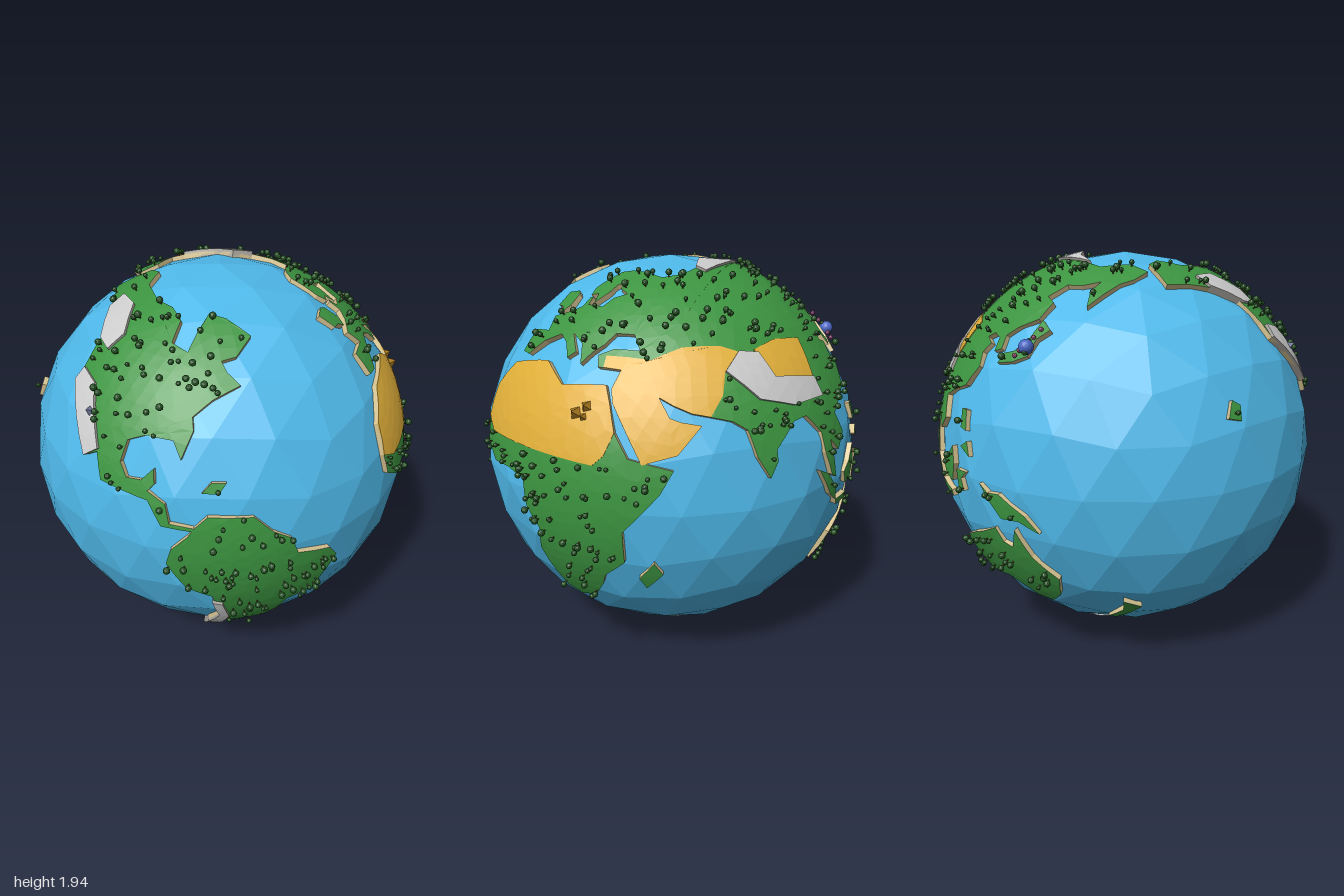
import * as THREE from 'three';
import { mergeGeometries } from 'three/addons/utils/BufferGeometryUtils.js';

const SEA = 0.963, LAND = 0.975;
const mat = (color) => new THREE.MeshStandardMaterial({ color, flatShading: true });

// Outlines as longitude, latitude pairs in degrees
const GREEN = {
  northAmerica: [-165, 59.5, -167, 70.5, -155.5, 73, -138, 69, -115, 66.5, -100, 65.5, -91, 62, -91, 55, -83, 53,
    -81, 58, -76, 65, -66, 63.4, -55, 57.5, -63, 52, -69, 51, -67, 48, -62.5, 44.5, -72, 41, -78, 36.7, -77.4, 33.3,
    -80.4, 26, -83, 30.5, -91.5, 30.7, -96.7, 28.6, -97.8, 22.8, -95.3, 19.2, -91, 19.5, -87.7, 23, -87.2, 19, -89, 17,
    -84, 14.3, -82.8, 9, -76.5, 8.4, -76.5, 7.4, -85, 8, -88.8, 14.5, -103.4, 16.2, -106, 23, -110, 20.8,
    -124.7, 37, -125, 42, -127.5, 51, -140, 57, -152, 59],
  southAmerica: [-76.5, 8.2, -73, 11.7, -61, 11.4, -56, 6.5, -51, 3.5, -49, -1.9, -39, -4, -36, -8, -40, -17, -41, -21,
    -49, -23.5, -51, -30.5, -56, -37, -62, -38, -62, -43, -66, -47.6, -64, -54, -73, -54, -77, -47.6, -74, -37,
    -70, -28, -72, -16.5, -79, -13, -84, -4, -82.6, 1, -78, 5.8],
  africa: [-16.5, 14.8, -16, 24, -9, 32.4, 8, 36.1, 17.4, 30.9, 32.2, 32.4, 34.3, 27.6, 36.4, 20.8, 40.3, 14.8, 52, 12.2,
    48.6, 6.2, 39, -4.8, 39, -14.4, 32.6, -20.4, 31.2, -24.4, 27, -31, 20, -34.5, 15, -32, 13.4, -26, 11, -17, 13, -9.5,
    9, -4, 8.2, 4, 1, 5, -7.5, 4, -14.8, 8.3],
  europe: [60, 69.7, 45, 68, 28, 70.8, 18, 70.8, 10, 69.4, 5, 61, 7, 58, 11, 59, 13, 55.5, 17, 60, 18, 63, 23, 66, 22, 62, 28, 60,
    22, 58, 19, 54.5, 10.5, 54.5, 9.5, 57.5, 8, 57, 8, 53.5, 3, 51, -4, 48.5, -1, 44, -9.5, 43, -8.5, 36, -4, 36, 1, 41,
    7.5, 44, 12, 42, 15.5, 38, 18, 40, 13, 45, 19, 42.5, 21.5, 37, 24.5, 40.5, 28, 43, 31, 46.5, 38, 46.5, 41, 42, 55, 50],
  asia: [60, 69.7, 75, 73, 91, 78, 117, 75, 144, 70.7, 154, 69, 178, 70.5, 188, 66, 178, 62, 170, 60, 163, 56, 157, 51,
    156, 57, 160, 61, 150, 59, 142, 59, 136, 54, 141, 52, 139, 46, 132, 43, 128, 40, 129, 36, 126, 35, 125, 39, 121, 40,
    118, 38.5, 122, 37, 120, 34, 122, 30, 118, 24, 110, 21, 106, 19, 109, 13, 105, 9, 101, 13, 103.5, 1.5, 101, 3, 98, 10,
    97, 16, 92, 21.5, 87, 21, 80, 15, 80, 12, 77.5, 8, 74, 14, 72, 21, 68, 23.5, 62, 25, 57, 26, 52, 28, 48, 30, 51, 25,
    54, 24, 59.5, 23, 53, 16, 44, 13.5, 39, 22, 35, 28, 34, 31.5, 36, 36.5, 28, 36.8, 27, 40, 32, 42, 41, 42, 55, 50],
  australia: [114, -22, 122, -18, 129, -15, 135, -12, 137, -16, 140, -17, 142, -11, 146, -19, 153, -26, 151, -34, 146, -39,
    140, -38, 136, -34, 131, -31.5, 124, -33, 118, -35, 115, -34],
  caribbeanIsland: [-74.5, 18, -72, 20.8, -68, 20.8, -70, 18],
  pacificIsland: [-159, 19, -155, 18, -154.5, 22, -157, 23.5],
  madagascar: [44.5, -24, 42.6, -20, 47, -14, 49.3, -18],
  britain: [-9, 52, -12, 57, -5, 58.5, -2, 57.5, 0, 53, -2, 50.5, -5, 52],
  japan: [130, 32, 136, 33, 141, 35, 142, 40, 146, 43, 141, 46, 139, 40, 135, 36, 131, 35],
  sumatra: [95, 6, 99, 4, 104, -2, 105, -6, 101, -3],
  java: [105, -6, 114, -7, 114, -9, 106, -8],
  borneo: [109, 1, 113, 3, 117, 7, 118, 2, 116, -3.5, 111, -3],
  sulawesi: [119.5, 1, 125, 1.5, 122, -1, 123, -4.5, 120, -5],
  northPhilippines: [120, 18, 122.5, 18, 124, 12.5, 121, 13],
  southPhilippines: [122, 8, 125, 10, 126.5, 6],
  newGuinea: [131, 0, 134, -2, 138, -1.5, 146, -6, 150, -10.5, 144, -8, 138, -8.5, 134, -4],
  newZealand: [172, -34.5, 178.5, -38, 175, -42, 169, -47, 166, -46, 172, -40],
};
const DESERT = {
  sahara: [-16.5, 14.8, -16, 24, -9, 32.4, 8, 36.1, 17.4, 30.9, 32.2, 32.4, 34.3, 27.6, 36.4, 20.8, 34, 15, 31, 12.2, -10, 12],
  arabianDesert: [30, 40, 45, 39.5, 55, 43, 68, 43, 74, 41, 68, 36, 66, 30, 62, 25, 57, 26, 52, 28, 48, 30, 51, 25, 54, 24, 59.5, 23,
    53, 16, 44, 13.5, 39, 22, 35, 28, 34, 31.5, 36, 36.5, 30, 36.8],
  gobi: [103, 41.6, 90, 43, 80, 41, 84, 32, 100, 29],
};
const ROCK = {
  northRockies: [-142, 62, -126, 62, -115, 53.5, -118, 48, -126, 49.5, -140, 57],
  southRockies: [-124.7, 37, -123.5, 41, -115, 39, -105.5, 24, -110, 20.8],
  andes: [-72, -19, -69, -20, -67, -29, -69, -38, -72, -48, -77, -47, -74, -37, -70, -28],
  himalaya: [68, 36, 74, 41, 81, 40, 84, 33, 100, 30.5, 101, 25, 88, 25, 77, 28],
  arcticRange: [144, 70.7, 113, 72.5, 80, 70, 75, 73, 91, 78, 117, 75],
};
const ICE = [-60, -63, -65, -70, -80, -73, -100, -73, -125, -74, -150, -77, -165, -79, 165, -78, 168, -72, 150, -68, 130, -66,
  110, -66, 90, -66.5, 70, -68, 55, -66.5, 35, -69, 10, -70, -10, -71, -25, -75, -40, -78, -60, -75, -57, -66];

const dir = (lon, lat) => {
  const a = lon * Math.PI / 180, b = lat * Math.PI / 180;
  return new THREE.Vector3(Math.cos(b) * Math.cos(a), Math.sin(b), -Math.cos(b) * Math.sin(a));
};
const mid = (a, b) => a.clone().add(b).normalize();
const pairs = (flat) => Array.from({ length: flat.length / 2 }, (_, i) => [flat[2 * i], flat[2 * i + 1]]);

function fromTriangles(points) {
  const g = new THREE.BufferGeometry().setFromPoints(points);
  g.computeVertexNormals();
  return g;
}

// Bisects the longest edge until the triangle hugs the sphere
function refine(a, b, c, out, limit = 0.11) {
  const ab = a.distanceTo(b), bc = b.distanceTo(c), ca = c.distanceTo(a), m = Math.max(ab, bc, ca);
  if (m < limit) out.push(a, b, c);
  else if (m === ab) { const p = mid(a, b); refine(a, p, c, out, limit); refine(p, b, c, out, limit); }
  else if (m === bc) { const p = mid(b, c); refine(a, b, p, out, limit); refine(a, p, c, out, limit); }
  else { const p = mid(c, a); refine(a, b, p, out, limit); refine(p, b, c, out, limit); }
}
const splitEdge = (a, b) => a.distanceTo(b) < 0.11 ? [a]
  : [...splitEdge(a, mid(a, b)), ...splitEdge(mid(a, b), b)];

// Curved slab with a top and a rim, cut out by an outline on the globe
function slab(name, flat, low, high, topColor, rimColor) {
  let pts = pairs(flat).map(([x, y]) => dir(x, y));
  const n = pts.reduce((s, p) => s.add(p), new THREE.Vector3()).normalize();
  const e1 = new THREE.Vector3(0.3, 0.2, 0.9).cross(n).normalize(), e2 = n.clone().cross(e1);
  const flatten = (p) => new THREE.Vector2(p.dot(e1), p.dot(e2)).divideScalar(1 + p.dot(n));
  if (THREE.ShapeUtils.isClockWise(pts.map(flatten))) pts.reverse();
  const top = [], rim = [];
  for (const [i, j, k] of THREE.ShapeUtils.triangulateShape(pts.map(flatten), [])) {
    const a = pts[i], b = pts[j], c = pts[k];
    const up = b.clone().sub(a).cross(c.clone().sub(a)).dot(a) > 0;
    refine(a, up ? b : c, up ? c : b, top);
  }
  const edge = pts.flatMap((p, i) => splitEdge(p, pts[(i + 1) % pts.length]));
  edge.forEach((a, i) => {
    const b = edge[(i + 1) % edge.length], at = (p, r) => p.clone().multiplyScalar(r);
    rim.push(at(a, low), at(b, low), at(b, high), at(a, low), at(b, high), at(a, high));
  });
  const group = new THREE.Group();
  group.name = name;
  const surface = new THREE.Mesh(fromTriangles(top.map((p) => p.clone().multiplyScalar(high))), mat(topColor));
  const side = new THREE.Mesh(fromTriangles(rim), mat(rimColor));
  surface.name = name + 'Top';
  side.name = name + 'Rim';
  return group.add(surface, side);
}

// Even-odd test of a point against an outline
function inside(lon, lat, flat) {
  const p = pairs(flat);
  let hit = false;
  p.forEach(([x1, y1], i) => {
    const [x2, y2] = p[(i + 1) % p.length];
    if ((y1 > lat) !== (y2 > lat) && lon < x1 + (lat - y1) / (y2 - y1) * (x2 - x1)) hit = !hit;
  });
  return hit;
}

// Moves a geometry modelled around the y axis onto the globe
function plant(geo, lon, lat, radius) {
  const d = dir(lon, lat);
  const q = new THREE.Quaternion().setFromUnitVectors(new THREE.Vector3(0, 1, 0), d);
  return geo.applyQuaternion(q).translate(...d.multiplyScalar(radius).toArray());
}

export function createModel() {
  const model = new THREE.Group(), globe = new THREE.Group();
  model.name = 'globeModel';
  globe.name = 'globe';
  globe.position.set(-0.02, 0.975, 0);
  model.add(globe);
  const add = (name, geo, color) => {
    const mesh = new THREE.Mesh(geo, mat(color));
    mesh.name = name;
    globe.add(mesh);
  };

  // Ocean: icosphere with a vertex at each pole
  let tris = [];
  const ico = new THREE.IcosahedronGeometry(1, 0).rotateZ(Math.atan(2 / (1 + Math.sqrt(5)))).attributes.position;
  for (let i = 0; i < ico.count; i++) tris.push(new THREE.Vector3().fromBufferAttribute(ico, i));
  for (let level = 0; level < 2; level++) {
    const next = [];
    for (let i = 0; i < tris.length; i += 3) {
      const [a, b, c] = tris.slice(i, i + 3), p = mid(a, b), q = mid(b, c), r = mid(c, a);
      next.push(a, p, r, p, b, q, r, q, c, p, q, r);
    }
    tris = next;
  }
  add('ocean', fromTriangles(tris.map((p) => p.clone().multiplyScalar(SEA))), 0x4fb9ea);

  // Land, deserts, mountain ranges and polar ice
  for (const k in GREEN) globe.add(slab(k, GREEN[k], 0.94, LAND, 0x3c9440, 0xd8c593));
  for (const k in DESERT) globe.add(slab(k, DESERT[k], LAND - 0.005, LAND + 0.003, 0xe2b03a, 0xd8b050));
  for (const k in ROCK) globe.add(slab(k, ROCK[k], LAND - 0.02, LAND + 0.013, 0xbdbdbd, 0xb0aca6));
  globe.add(slab('polarIce', ICE, 0.94, LAND, 0xbdbdbd, 0xcccccc));

  // Trees scattered over the green land
  let seed = 7;
  const rand = () => (seed = (seed * 16807) % 2147483647) / 2147483647;
  const bare = [...Object.values(DESERT), ...Object.values(ROCK)], crowns = [], trunks = [];
  for (let i = 0; i < 1800; i++) {
    const lon = rand() * 360 - 171, lat = Math.asin(rand() * 2 - 1) * 180 / Math.PI, size = 0.01 + rand() * 0.007;
    const on = (flat) => inside(lon, lat, flat);
    if (!Object.values(GREEN).some(on) || bare.some(on)) continue;
    crowns.push(plant(new THREE.IcosahedronGeometry(size, 1), lon, lat, LAND + 0.007 + size));
    trunks.push(plant(new THREE.CylinderGeometry(0.003, 0.004, 0.016, 5, 1, true), lon, lat, LAND + 0.004));
  }
  add('treeCrowns', mergeGeometries(crowns), 0x21501f);
  add('treeTrunks', mergeGeometries(trunks), 0x5b3a1e);

  // Landmarks: desert pyramids, a mountain peak, a blue dome with blossoms
  const pyramids = [[24.5, 24.5, 0.034], [27.5, 26.5, 0.03], [27, 23.8, 0.022]].map(([lon, lat, s]) =>
    plant(new THREE.ConeGeometry(s, s * 1.2, 4), lon, lat, LAND + s * 0.55));
  add('pyramids', mergeGeometries(pyramids), 0xa8781f);
  add('mountainPeak', plant(new THREE.ConeGeometry(0.025, 0.03, 4), -112, 32, LAND + 0.024), 0x6c7194);
  add('blueDome', plant(new THREE.IcosahedronGeometry(0.034, 2), 140.5, 37, LAND + 0.02), 0x4a66c4);
  const blossoms = [[138, 36], [141.5, 40], [143, 42.5], [137, 34.5]].map(([lon, lat]) =>
    plant(new THREE.IcosahedronGeometry(0.011, 1), lon, lat, LAND + 0.014));
  add('blossoms', mergeGeometries(blossoms), 0x9a4a78);
  return model;
}
